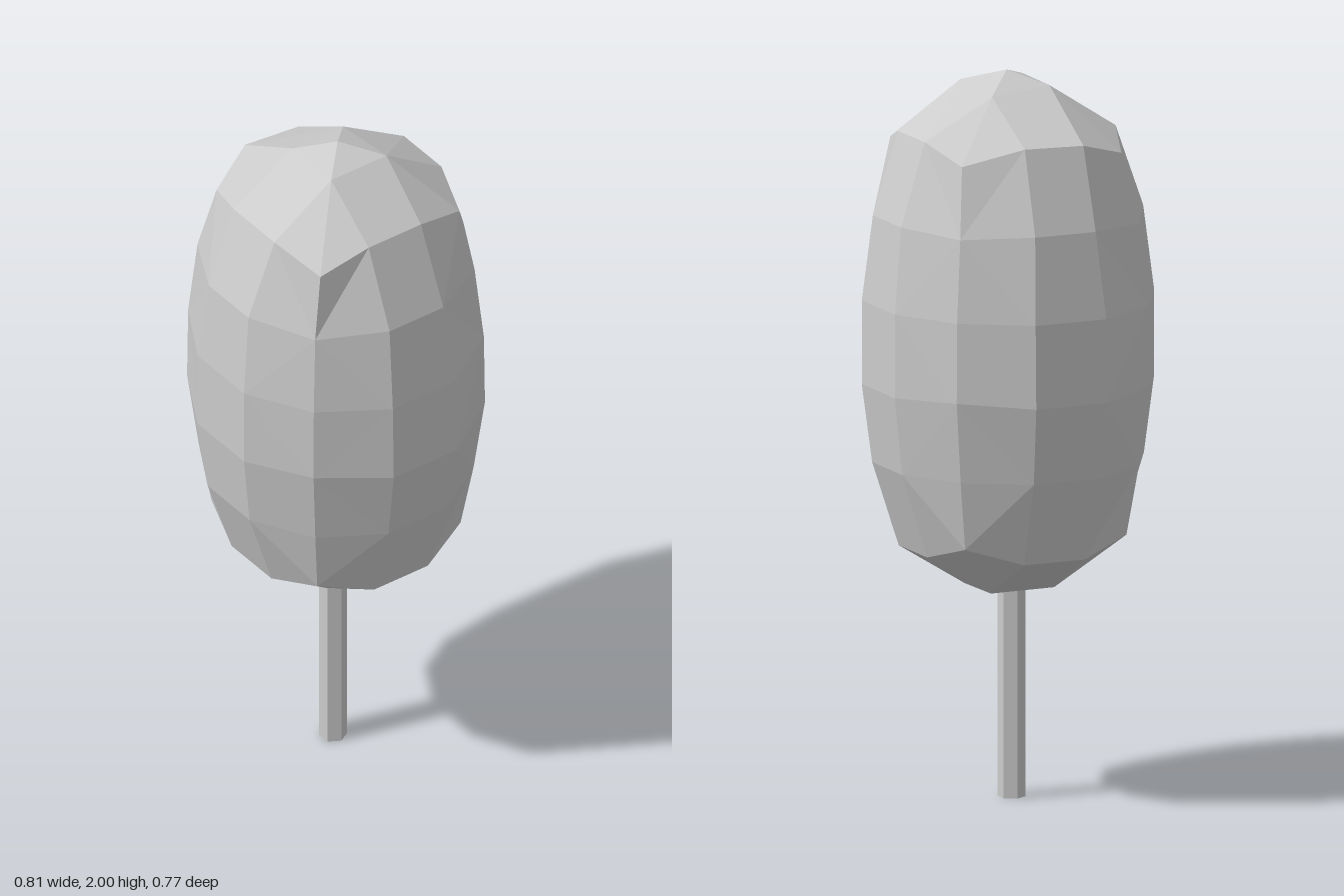
import * as THREE from 'three';

// Twelve-sided outline of a crown level: [x, z] clockwise seen from above, starting at the back.
// a: half width of the four flat sides, b: corner offset, cx / cz: reach along each axis.
function outline(a, b, cx, cz) {
  return [
    [-a, -cz], [a, -cz], [b, -b], [cx, -a], [cx, a], [b, b],
    [a, cz], [-a, cz], [-b, b], [-cx, a], [-cx, -a], [-b, -b],
  ];
}

// Levels from bottom to top; corner points may sit at a different height from the sides
const levels = [
  { pts: outline(0.09, 0.24, 0.295, 0.283), y: 0.70, cornerY: 0.745 },
  { pts: outline(0.095, 0.265, 0.367, 0.36), y: 0.935, cornerY: 0.935 },
  { pts: outline(0.105, 0.287, 0.404, 0.386), y: 1.15, cornerY: 1.16 },
  { pts: outline(0.105, 0.285, 0.4, 0.386), y: 1.38, cornerY: 1.38 },
  { pts: outline(0.09, 0.267, 0.365, 0.36), y: 1.615, cornerY: 1.605 },
  {
    pts: [
      [-0.075, -0.283], [0.095, -0.283], [0.235, -0.24], [0.27, -0.085], [0.27, 0.09], [0.25, 0.237],
      [0.1, 0.28], [-0.085, 0.28], [-0.23, 0.23], [-0.298, 0.085], [-0.278, -0.08], [-0.22, -0.24],
    ],
    y: 1.84, cornerY: 1.795,
  },
];

function crownGeometry() {
  const pos = [];
  const tri = (a, b, c) => pos.push(...a, ...b, ...c);
  const rings = levels.map(({ pts, y, cornerY }) =>
    pts.map(([x, z], i) => [x, i % 3 === 2 ? cornerY : y, z]));

  // Side walls
  for (let r = 0; r < rings.length - 1; r++) {
    const lo = rings[r], hi = rings[r + 1];
    for (let i = 0; i < 12; i++) {
      const j = (i + 1) % 12;
      if ((i + r) % 2) {
        tri(lo[i], hi[i], hi[j]);
        tri(lo[i], hi[j], lo[j]);
      } else {
        tri(lo[i], hi[i], lo[j]);
        tri(hi[i], hi[j], lo[j]);
      }
    }
  }

  // Caps: an inner square joined to the ring and closed at a centre point
  const cap = (ring, inner, centre, up) => {
    const face = (a, b, c) => (up ? tri(a, c, b) : tri(a, b, c));
    for (let k = 0; k < 4; k++) {
      const p = inner[k], q = inner[(k + 1) % 4];
      const [s, t, u, v] = [0, 1, 2, 3].map((n) => ring[(3 * k + n) % 12]);
      face(s, t, q);
      face(s, q, p);
      face(t, u, q);
      face(u, v, q);
      face(p, q, centre);
    }
  };
  cap(rings[5],
    [[-0.09, 1.95, -0.09], [0.1, 1.965, -0.095], [0.1, 1.965, 0.09], [-0.075, 1.965, 0.088]],
    [0.008, 2, 0], true);
  cap(rings[0],
    [[-0.095, 0.585, -0.095], [0.085, 0.58, -0.09], [0.085, 0.58, 0.095], [-0.09, 0.585, 0.095]],
    [0, 0.58, 0], false);

  const geo = new THREE.BufferGeometry();
  geo.setAttribute('position', new THREE.Float32BufferAttribute(pos, 3));
  geo.computeVertexNormals();
  return geo;
}

export function createModel() {
  const group = new THREE.Group();
  group.name = 'tree';
  const material = new THREE.MeshStandardMaterial({ color: 0xcccccc, flatShading: true });

  // Faceted foliage
  const crown = new THREE.Mesh(crownGeometry(), material);
  crown.name = 'crown';
  group.add(crown);

  // Six-sided trunk reaching just into the foliage
  const trunk = new THREE.Mesh(
    new THREE.CylinderGeometry(0.038, 0.038, 0.64, 6, 1, false, Math.PI / 2), material);
  trunk.name = 'trunk';
  trunk.position.set(0.003, 0.32, 0.012);
  group.add(trunk);

  return group;
}
